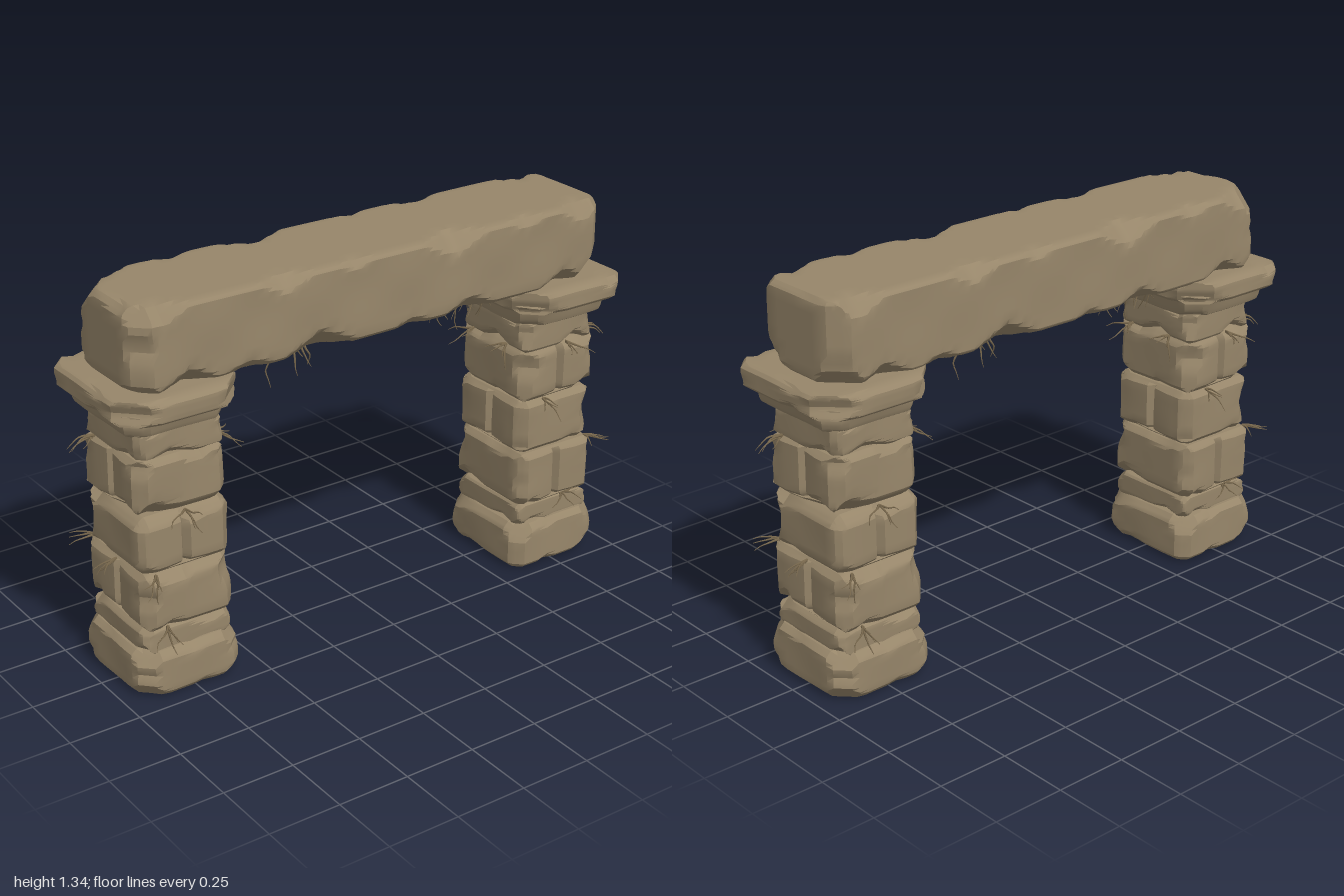
import * as THREE from 'three';
import { toCreasedNormals } from 'three/addons/utils/BufferGeometryUtils.js';

const stoneMat = new THREE.MeshStandardMaterial({ color: 0x97866a });
stoneMat.name = 'sandstone';
const rootMat = new THREE.MeshStandardMaterial({ color: 0x7d6c50 });
rootMat.name = 'dryRoot';

let seed = 7;
function rand(a = 0, b = 1) {
  seed = (seed * 16807) % 2147483647;
  return a + (b - a) * (seed / 2147483647);
}

// A hewn block: box whose edges and corners are cut back by chamfers of varying depth.
// grooves: faces ('+x', '-z' ...) with a vertical joint; taper: size of the underside.
function stone(name, x, y, z, opts = {}) {
  const { bevel = 0.018, corner = 0.06, chip = 0.03, long = false, grooves = [], taper = 1, chips = [], upright = bevel } = opts;
  const lo = [x[0], y[0], z[0]], hi = [x[1], y[1], z[1]];
  const half = lo.map((l, i) => (hi[i] - l) / 2);
  const mid = lo.map((l, i) => (hi[i] + l) / 2);
  const n = 14;
  const geo = new THREE.BoxGeometry(2, 2, 2, long ? 90 : n, n, n);
  const pos = geo.attributes.position;

  // Cuts: 12 edges and 8 corners
  const edges = [], corners = [];
  for (const [a, b, t] of [[1, 2, 0], [0, 2, 1], [0, 1, 2]])
    for (const sa of [-1, 1]) for (const sb of [-1, 1])
      edges.push({
        a, b, t, sa, sb, base: (t === 1 ? upright : bevel) * rand(0.7, 1.3),
        tents: t === 0 && chips.length
          ? chips.map(([p, d, s]) => [p * sb * (sa > 0 ? 1 : -0.9), d, s])
          : [[rand(-1, 1) * half[t], chip * rand(0.3, 1.2), rand(0.3, 0.7)]],
      });
  for (const sx of [-1, 1]) for (const sy of [-1, 1]) for (const sz of [-1, 1])
    corners.push({ s: [sx, sy, sz], cut: corner * rand(0.6, 1.4) });

  const phase = rand(0, 6);
  for (let i = 0; i < pos.count; i++) {
    const u = [pos.getX(i), pos.getY(i), pos.getZ(i)];
    // Crowd the grid towards the edges, and beside a joint
    const p = u.map((c, k) => {
      let m = long && k === 0 ? c : Math.sin(c * Math.PI / 2);
      if (grooves.length && k !== 1 && Math.abs(Math.abs(c) - 2 / n) < 0.01) m = Math.sign(c) * 0.1;
      return m * half[k];
    });
    for (const e of edges) {
      let cut = e.base;
      for (const [t0, d, s] of e.tents) cut += Math.max(0, d - Math.abs(p[e.t] - t0) * s);
      const over = e.sa * p[e.a] + e.sb * p[e.b] - (half[e.a] + half[e.b] - cut);
      if (over > 0) { p[e.a] -= e.sa * over / 2; p[e.b] -= e.sb * over / 2; }
    }
    for (const c of corners) {
      const over = c.s.reduce((sum, s, k) => sum + s * p[k], 0) - (half[0] + half[1] + half[2] - c.cut);
      if (over > 0) c.s.forEach((s, k) => { p[k] -= s * over / 3; });
    }
    for (const g of grooves) {
      const k = g[1] === 'x' ? 0 : 2, s = g[0] === '+' ? 1 : -1;
      const across = Math.abs(u[2 - k]);
      if (u[k] * s > 0.99 && across < 0.2) p[k] -= s * (across < 0.01 ? 0.035 : 0.008);
    }
    // Gentle worn unevenness, and the flare
    const flare = taper + (1 - taper) * (u[1] + 1) / 2;
    const wear = 1 - 0.012 * (1 + Math.sin(p[0] * 17 + phase) * Math.sin(p[1] * 23 + phase * 2) * Math.cos(p[2] * 19 - phase));
    pos.setXYZ(i,
      mid[0] + p[0] * flare * (long ? 1 : wear),
      mid[1] + p[1],
      mid[2] + p[2] * flare * wear);
  }
  geo.deleteAttribute('uv');
  const mesh = new THREE.Mesh(toCreasedNormals(geo, 0.4), stoneMat);
  mesh.name = name;
  return mesh;
}

// A thin tapering root that wanders from a start point and sags
function root(start, dir, length, radius = 0.005) {
  const p = new THREE.Vector3(...start), d = new THREE.Vector3(...dir).normalize();
  const pts = [p.clone()];
  for (let i = 0; i < 4; i++) {
    d.add(new THREE.Vector3(rand(-0.5, 0.5), rand(-0.55, 0.15), rand(-0.5, 0.5))).normalize();
    pts.push(p.addScaledVector(d, length / 4).clone());
  }
  const curve = new THREE.CatmullRomCurve3(pts), rings = 8, sides = 4;
  const geo = new THREE.TubeGeometry(curve, rings, radius, sides);
  const pos = geo.attributes.position, v = new THREE.Vector3();
  for (let i = 0; i < pos.count; i++) {
    const t = Math.floor(i / (sides + 1)) / rings, c = curve.getPointAt(t);
    v.fromBufferAttribute(pos, i).sub(c).multiplyScalar(1 - 0.8 * t).add(c);
    pos.setXYZ(i, v.x, v.y, v.z);
  }
  const mesh = new THREE.Mesh(geo, rootMat);
  mesh.name = 'root';
  return mesh;
}

function createPillar() {
  const g = new THREE.Group();
  g.name = 'pillar';
  g.add(
    stone('base', [0.57, 0.955], [0, 0.17], [-0.205, 0.21], { bevel: 0.022, corner: 0.08, upright: 0.04 }),
    stone('plinth', [0.6, 0.928], [0.15, 0.245], [-0.175, 0.178], { bevel: 0.012, corner: 0.04 }),
    stone('lowerCourse', [0.588, 0.932], [0.238, 0.447], [-0.198, 0.198], { grooves: ['+x', '+z'], bevel: 0.025, upright: 0.04 }),
    stone('middleCourse', [0.592, 0.938], [0.443, 0.643], [-0.192, 0.182], { grooves: ['-x', '-z'], bevel: 0.025, upright: 0.035 }),
    stone('upperCourse', [0.6, 0.935], [0.638, 0.843], [-0.188, 0.187], { grooves: ['+x', '+z'], bevel: 0.028, upright: 0.04 }),
    stone('neck', [0.607, 0.927], [0.825, 0.945], [-0.172, 0.174], { bevel: 0.012, corner: 0.04 }),
    stone('capitalFlare', [0.56, 0.985], [0.93, 1.015], [-0.235, 0.24], { taper: 0.84, bevel: 0.01, corner: 0.06, chip: 0.015, upright: 0.06 }),
    stone('capitalSlab', [0.55, 1.002], [0.985, 1.066], [-0.257, 0.257], { bevel: 0.014, corner: 0.07, chip: 0.02, upright: 0.08 }),
  );
  return g;
}

function createRoots() {
  const g = new THREE.Group();
  g.name = 'roots';
  // Hanging beneath the lintel
  for (let i = 0; i < 26; i++) {
    const x = rand(0.28, 0.56);
    g.add(root([x, 1.08, rand(-0.17, 0.17)], [rand(-0.5, 0.5), -1, rand(-0.4, 0.4)], rand(0.07, 0.11) + Math.max(0, x - 0.4) * 0.6));
  }
  // Tufts growing out of the joints: position and direction
  const tufts = [
    [0.6, 0.84, 0.08, -1, 0, 0.3], [0.6, 0.84, -0.1, -1, 0, -0.2], [0.92, 0.835, 0.1, 1, 0, 0.2],
    [0.92, 0.44, 0, 1, 0, 0], [0.9, 0.445, 0.17, 0.6, 0, 1], [0.88, 0.445, -0.18, 0.4, 0, -1],
    [0.8, 0.242, 0.17, 0.2, 0.2, 1], [0.84, 0.243, -0.17, 0.2, 0.1, -1],
    [0.76, 0.64, -0.17, 0, 0.1, -1], [0.7, 0.64, 0.17, 0, 0.1, 1], [0.8, 0.83, 0.16, 0, 0.1, 1],
  ];
  for (const [x, y, z, dx, dy, dz] of tufts)
    for (let i = 0; i < 4; i++)
      g.add(root([x, y, z], [dx + rand(-0.5, 0.5), dy + rand(-0.2, 0.2), dz + rand(-0.5, 0.5)], rand(0.06, 0.12)));
  return g;
}

export function createModel() {
  const model = new THREE.Group();
  model.name = 'stoneGate';

  model.add(stone('lintel', [-0.927, 0.927], [1.06, 1.338], [-0.203, 0.203], {
    long: true, bevel: 0.014, corner: 0.11, upright: 0.05, chip: 0.03,
    chips: [[-0.83, 0.05, 0.5], [-0.38, 0.04, 0.4], [-0.12, 0.02, 0.3], [0.28, 0.06, 0.45], [0.58, 0.025, 0.3], [0.82, 0.05, 0.5]],
  }));

  // Each side is the other turned half round
  const left = new THREE.Group();
  left.name = 'leftSide';
  left.add(createPillar(), createRoots());
  const right = left.clone();
  right.name = 'rightSide';
  right.rotation.y = Math.PI;
  model.add(left, right);
  return model;
}
